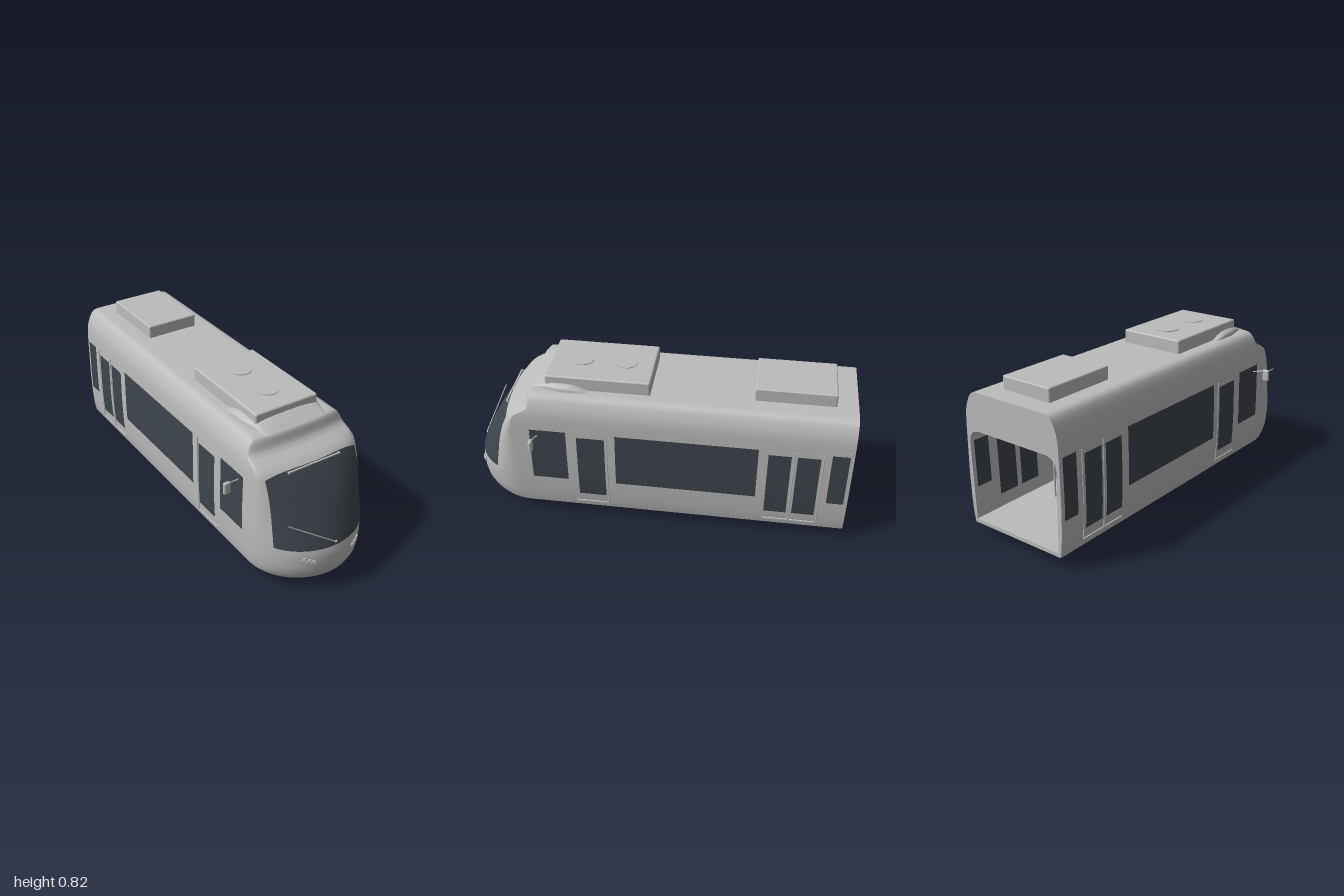
import * as THREE from 'three';
import { RoundedBoxGeometry } from 'three/addons/geometries/RoundedBoxGeometry.js';

// Body levels: [height, half width, nose tip z, depth of the nose curve]
const LEVELS = [
  [0.066, 0.280, 0.950, 0.27], [0.085, 0.284, 0.972, 0.28], [0.12, 0.289, 0.990, 0.28],
  [0.16, 0.292, 0.998, 0.28], [0.21, 0.295, 1.0, 0.28], [0.25, 0.296, 0.995, 0.27],
  [0.30, 0.297, 0.977, 0.25], [0.36, 0.297, 0.950, 0.22], [0.42, 0.296, 0.920, 0.18],
  [0.48, 0.295, 0.886, 0.14], [0.54, 0.294, 0.848, 0.10], [0.60, 0.292, 0.806, 0.07],
  [0.63, 0.290, 0.782, 0.06], [0.65, 0.287, 0.745, 0.05], [0.665, 0.284, 0.705, 0.04],
  [0.68, 0.279, 0.682, 0.035], [0.70, 0.271, 0.673, 0.03], [0.72, 0.261, 0.668, 0.03],
  [0.735, 0.250, 0.664, 0.03], [0.744, 0.236, 0.658, 0.03], [0.748, 0.215, 0.650, 0.03],
  [0.749, 0.0, 0.645, 0.0],
];

function levelAt(y) {
  let i = 0;
  while (i < LEVELS.length - 2 && LEVELS[i + 1][0] < y) i++;
  const a = LEVELS[i], b = LEVELS[i + 1], k = (y - a[0]) / (b[0] - a[0]);
  return a.map((v, n) => v + (b[n] - v) * k);
}

const noseZ = (x, y) => {
  const [, w, f, d] = levelAt(y);
  return f - d * (1 - Math.sqrt(Math.max(0, 1 - (x / w) ** 2)));
};

// Surface from a rule giving [x, y, z] for u, v in 0..1
function surface(nu, nv, rule) {
  const pos = [], index = [], n = nu + 1;
  for (let j = 0; j <= nv; j++) for (let i = 0; i <= nu; i++) pos.push(...rule(i / nu, j / nv));
  for (let j = 0; j < nv; j++) for (let i = 0; i < nu; i++) {
    const a = j * n + i, b = a + n;
    index.push(a, a + 1, b, a + 1, b + 1, b);
  }
  const g = new THREE.BufferGeometry();
  g.setAttribute('position', new THREE.Float32BufferAttribute(pos, 3));
  g.setIndex(index);
  g.computeVertexNormals();
  return g;
}

// Plan outline of one level, from the rear right corner round the nose to the rear left
const ARC = 48;
function outline([y, w, f, d], i) {
  const last = ARC + 4;
  if (i === 0 || i === last) return [i ? w : -w, y, -1];
  if (i === 1 || i === last - 1) return [i > 1 ? w : -w, y, 0.58];
  const t = ((i - 2) / ARC - 0.5) * Math.PI;
  return [w * Math.sin(t), y, f - d * (1 - Math.cos(t))];
}

export function createModel() {
  const paint = new THREE.MeshStandardMaterial({ color: 0xbcbcbc, side: THREE.DoubleSide });
  paint.name = 'grey paint';
  const glass = new THREE.MeshStandardMaterial({ color: 0x3e454d, side: THREE.DoubleSide });
  glass.name = 'dark glass';

  const model = new THREE.Group();
  model.name = 'tram';
  const add = (name, geo, mat = paint, x = 0, y = 0, z = 0) => {
    const m = new THREE.Mesh(geo, mat);
    m.name = name;
    m.position.set(x, y, z);
    model.add(m);
    return m;
  };
  const box = (name, w, h, d, x, y, z, mat = paint) =>
    add(name, new THREE.BoxGeometry(w, h, d), mat, x, y, z);
  const rod = (name, a, b, r) => {
    const p = new THREE.Vector3(...a), q = new THREE.Vector3(...b), dir = q.clone().sub(p);
    const m = add(name, new THREE.CylinderGeometry(r, r, dir.length(), 10));
    m.position.copy(p).add(q).multiplyScalar(0.5);
    m.quaternion.setFromUnitVectors(new THREE.Vector3(0, 1, 0), dir.normalize());
    return m;
  };

  // Outer shell
  const rows = LEVELS.length - 1;
  add('bodyShell', surface(ARC + 4, rows, (u, v) =>
    outline(LEVELS[Math.round(v * rows)], Math.round(u * (ARC + 4)))));

  // Floor slab following the plan outline
  const plan = new THREE.Shape();
  for (let i = 0; i <= ARC + 4; i++) {
    const [x, , z] = outline(LEVELS[0], i);
    plan[i ? 'lineTo' : 'moveTo'](x, z);
  }
  const slab = new THREE.ExtrudeGeometry(plan, { depth: 0.018, bevelEnabled: false });
  slab.rotateX(Math.PI / 2);
  add('floor', slab, paint, 0, 0.084, 0);

  // Thick lining with the open rear doorway
  const section = new THREE.Shape();
  const side = LEVELS.slice(0, -1);
  side.forEach(([y, w], i) => section[i ? 'lineTo' : 'moveTo'](w * 0.997, y));
  [...side].reverse().forEach(([y, w]) => section.lineTo(-w * 0.997, y));
  const hole = new THREE.Path();
  hole.moveTo(-0.268, 0.086);
  hole.lineTo(-0.276, 0.49);
  hole.quadraticCurveTo(-0.275, 0.55, -0.21, 0.555);
  hole.lineTo(0.21, 0.555);
  hole.quadraticCurveTo(0.275, 0.55, 0.276, 0.49);
  hole.lineTo(0.268, 0.086);
  section.holes.push(hole);
  add('lining', new THREE.ExtrudeGeometry(section, { depth: 1.6, bevelEnabled: false, curveSegments: 8 }),
    paint, 0, 0, -1);

  // Windscreen
  add('windscreen', surface(40, 24, (u, v) => {
    const x = (u * 2 - 1) * 0.262;
    const y = 0.267 + v * (0.357 - 0.022 * Math.abs(x / 0.262) ** 5);
    return [x, y, noseZ(x, y) + 0.004];
  }), glass);

  // Windscreen top trim
  box('windscreenTrim', 0.3, 0.006, 0.008, 0, 0.619, 0.797);
  for (const s of [-1, 1]) box('windscreenTrimEnd', 0.005, 0.018, 0.012, s * 0.148, 0.611, 0.79);

  // Wiper
  rod('wiperArm', [0, 0.282, 0.994], [-0.245, 0.443, 0.935], 0.003);
  add('wiperPivot', new THREE.SphereGeometry(0.007, 12, 8), paint, 0, 0.282, 0.988);

  // Side windows and door panes: [front z, rear z, bottom, top]
  const panes = [
    [0.645, 0.455, 0.25, 0.557], [0.4, 0.255, 0.155, 0.53], [0.2, -0.53, 0.25, 0.557],
    [-0.58, -0.695, 0.155, 0.53], [-0.725, -0.84, 0.155, 0.53], [-0.893, -0.98, 0.25, 0.557],
  ];
  for (const s of [-1, 1]) {
    for (const [z0, z1, y0, y1] of panes) {
      add('sideWindow', surface(1, 8, (u, v) => {
        const y = y0 + v * (y1 - y0), k = s > 0 ? u : 1 - u;
        return [s * (levelAt(y)[1] + 0.002), y, z0 + (z1 - z0) * k];
      }), glass);
      const top = Math.min(y1, 0.49), front = Math.min(z0, 0.595);
      add('innerWindow', surface(1, 1, (u, v) => {
        const y = y0 + v * (top - y0), k = s > 0 ? 1 - u : u;
        return [s * (0.268 + 0.008 * (y - 0.086) / 0.404 - 0.002), y, front + (z1 - front) * k];
      }), glass);
    }

    // Door sills, seams and handles
    for (const [z, len] of [[0.33, 0.18], [-0.715, 0.28]]) box('doorSill', 0.012, 0.006, len, s * 0.287, 0.102, z);
    for (const z of [0.243, -0.71, -0.855]) {
      rod('doorRail', [s * 0.291, 0.105, z], [s * 0.297, 0.3, z], 0.003);
      rod('doorRail', [s * 0.297, 0.3, z], [s * 0.296, 0.555, z], 0.003);
    }

    // Mirror on its arm
    rod('mirrorArm', [s * 0.293, 0.523, 0.605], [s * 0.355, 0.535, 0.62], 0.004);
    add('mirror', new RoundedBoxGeometry(0.037, 0.067, 0.02, 3, 0.009), paint, s * 0.37, 0.512, 0.62);

    // Headlights
    for (let i = 0; i < 3; i++) {
      const x = s * (0.117 + i * 0.02), y = 0.203 + i * 0.008, z = noseZ(x, y);
      const turn = s * (0.3 + i * 0.1);
      add('headlightRim', new THREE.TorusGeometry(0.0105, 0.0035, 8, 20), paint, x, y, z + 0.003).rotation.y = turn;
      add('headlightLens', new THREE.SphereGeometry(0.009, 14, 8), paint, x, y, z).rotation.y = turn;
    }
  }

  // Roof units
  add('frontRoofUnit', new RoundedBoxGeometry(0.36, 0.1, 0.54, 3, 0.01), paint, 0, 0.77, 0.303);
  for (const z of [0.18, 0.41]) add('roofFan', new THREE.CylinderGeometry(0.06, 0.06, 0.006, 32), paint, 0, 0.821, z);
  add('rearRoofUnit', new RoundedBoxGeometry(0.293, 0.1, 0.405, 3, 0.008), paint, 0, 0.767, -0.69);

  // Roof fairing: a low hump wrapping the front unit
  add('roofFairing', surface(24, 16, (u, v) => {
    const a = (u * 2 - 1) * Math.PI / 2, z = 0.652 - v * 0.312;
    const h = 0.047 * Math.min(1, Math.sin(Math.PI * v) * 1.15);
    const w = 0.175 + 0.037 * Math.min(1, v * 2) - 0.02 * Math.max(0, v - 0.85) / 0.15;
    const sx = Math.sign(a) * Math.abs(Math.sin(a)) ** 0.8;
    return [sx * w, 0.746 + h * Math.cos(a) ** 0.6, z];
  }));

  // Bogie: wheels, axles, brake discs and motors
  for (const z of [0.01, -0.395]) {
    rod('axle', [-0.2, 0.062, z], [0.2, 0.062, z], 0.012);
    for (const s of [-1, 1]) {
      const profile = [[0, -0.012], [0.05, -0.012], [0.055, 0], [0.062, 0.006], [0.062, 0.013], [0, 0.013]];
      const wheel = add('wheel', new THREE.LatheGeometry(profile.map(p => new THREE.Vector2(...p)), 32),
        paint, s * 0.17, 0.062, z);
      wheel.rotation.z = s * Math.PI / 2;
      rod('brakeDisc', [s * 0.102, 0.062, z], [s * 0.112, 0.062, z], 0.033);
      box('axleBox', 0.02, 0.02, 0.05, s * 0.195, 0.062, z);
    }
  }
  for (const z of [-0.09, -0.295]) rod('motor', [-0.09, 0.062, z], [0.067, 0.062, z], 0.021);

  // Cabin interior: poles, seats and driver's desk
  for (const s of [-1, 1]) {
    for (const z of [-0.6, -0.2, 0.2]) rod('handPole', [s * 0.13, 0.084, z], [s * 0.13, 0.556, z], 0.005);
    for (const z of [-0.35, -0.05]) {
      box('seat', 0.12, 0.03, 0.11, s * 0.2, 0.18, z);
      box('seatBack', 0.12, 0.15, 0.02, s * 0.2, 0.26, z - 0.05);
      box('seatBase', 0.05, 0.085, 0.06, s * 0.2, 0.126, z);
    }
    rod('grabRail', [s * 0.13, 0.53, -0.6], [s * 0.13, 0.53, 0.2], 0.004);
  }
  box('driverDesk', 0.4, 0.14, 0.12, 0, 0.154, 0.72);

  return model;
}
